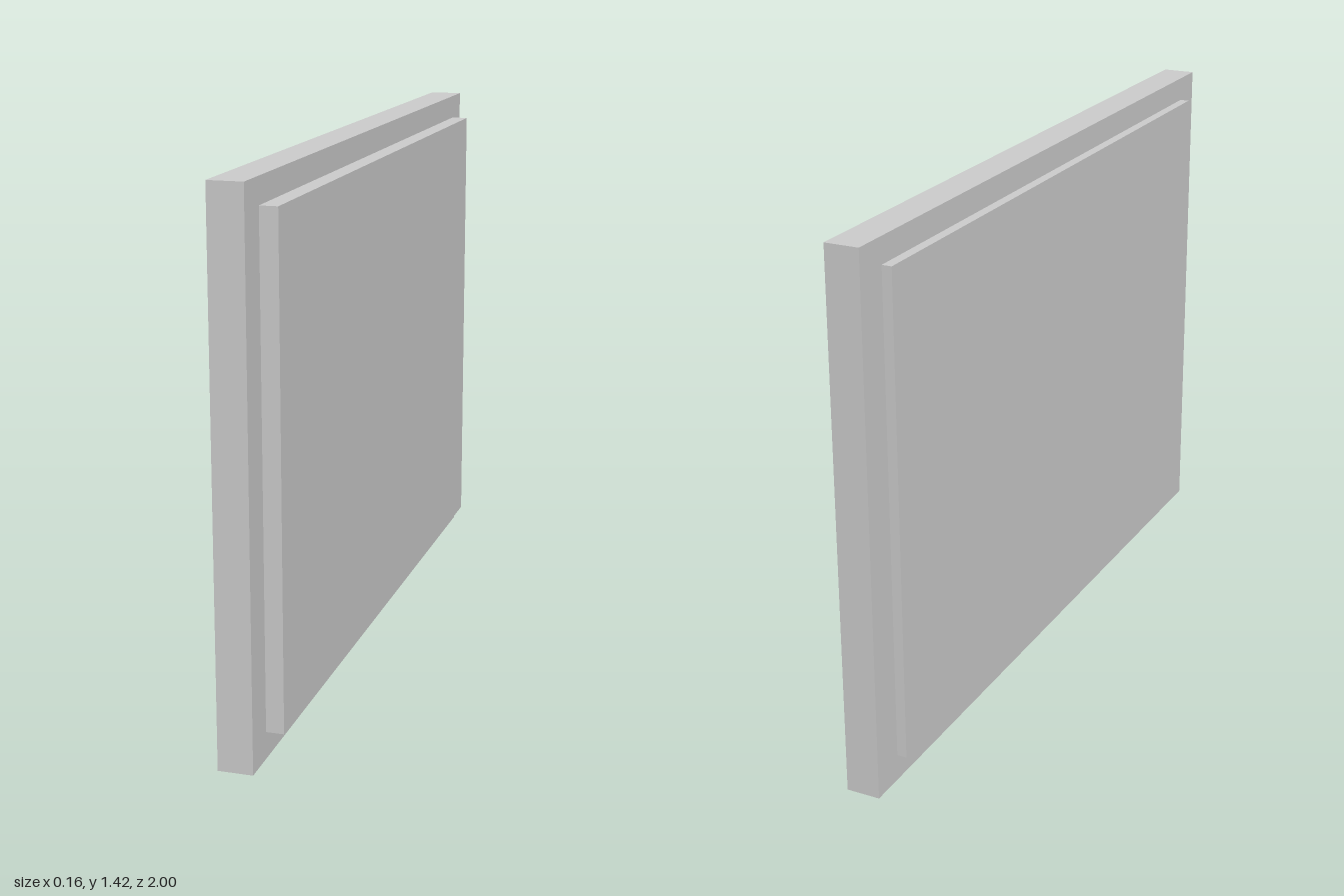
import * as THREE from 'three';

const HEIGHT = 1.42;
const PANEL_BOTTOM = 0.07, PANEL_TOP = 1.353, PANEL_DEPTH = 1.81;

export function createModel() {
  const group = new THREE.Group();
  const material = new THREE.MeshStandardMaterial({ color: 0xcccccc, flatShading: true });

  // Box spanning x0..x1 and y0..y1, centred on z
  const addSlab = (name, x0, x1, y0, y1, depth) => {
    const slab = new THREE.Mesh(new THREE.BoxGeometry(x1 - x0, y1 - y0, depth), material);
    slab.name = name;
    slab.position.set((x0 + x1) / 2, (y0 + y1) / 2, 0);
    group.add(slab);
  };

  // Main board
  addSlab('board', -0.055, 0.035, 0, HEIGHT, 2);

  // Raised panels on both faces, the left one thicker
  addSlab('leftPanel', 0.035, 0.081, PANEL_BOTTOM, PANEL_TOP, PANEL_DEPTH);
  addSlab('rightPanel', -0.081, -0.055, PANEL_BOTTOM, PANEL_TOP, PANEL_DEPTH);

  return group;
}
